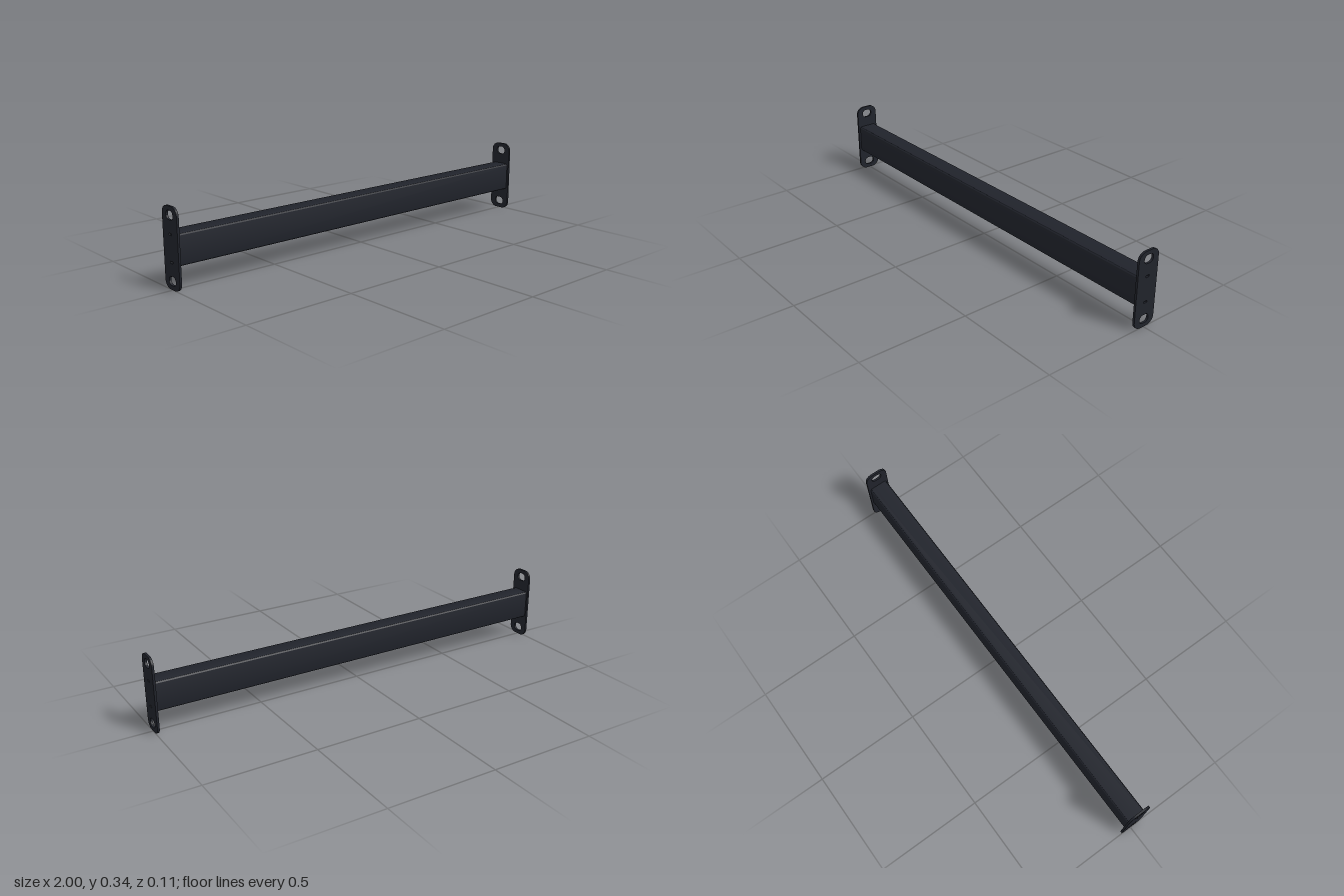
import * as THREE from 'three';
import { toCreasedNormals } from 'three/addons/utils/BufferGeometryUtils.js';

const LENGTH = 2, HEIGHT = 0.345, MID = HEIGHT / 2, PLATE = 0.01;

// Rounded rectangle centred on (0, cy), drawn into a Shape or Path
function roundedRect(path, w, h, r, cy = 0) {
  const x = w / 2, y = h / 2;
  path.moveTo(x, cy - y + r);
  path.lineTo(x, cy + y - r);
  path.absarc(x - r, cy + y - r, r, 0, Math.PI / 2);
  path.lineTo(-x + r, cy + y);
  path.absarc(-x + r, cy + y - r, r, Math.PI / 2, Math.PI);
  path.lineTo(-x, cy - y + r);
  path.absarc(-x + r, cy - y + r, r, Math.PI, Math.PI * 1.5);
  path.lineTo(x - r, cy - y);
  path.absarc(x - r, cy - y + r, r, Math.PI * 1.5, Math.PI * 2);
  path.closePath();
  return path;
}

// Extrude a profile along x, centred on x = 0
function extrudeAlongX(shape, depth) {
  const geo = new THREE.ExtrudeGeometry(shape, { depth, bevelEnabled: false, curveSegments: 10 });
  geo.translate(0, 0, -depth / 2).rotateY(Math.PI / 2);
  return toCreasedNormals(geo, 0.6);
}

export function createModel() {
  const group = new THREE.Group();
  group.name = 'crossbar';
  const steel = new THREE.MeshStandardMaterial({ color: 0x20232b });

  // Hollow rectangular tube
  const tubeShape = roundedRect(new THREE.Shape(), 0.09, 0.135, 0.012);
  tubeShape.holes.push(roundedRect(new THREE.Path(), 0.078, 0.123, 0.006));
  const tube = new THREE.Mesh(extrudeAlongX(tubeShape, LENGTH - 2 * PLATE), steel);
  tube.name = 'tube';
  tube.position.y = MID;
  group.add(tube);

  // End plates with bolt slots and small vent holes opening into the tube
  const plateShape = roundedRect(new THREE.Shape(), 0.109, HEIGHT, 0.036);
  for (const s of [-1, 1]) {
    plateShape.holes.push(roundedRect(new THREE.Path(), 0.05, 0.038, 0.018, s * 0.1355));
    plateShape.holes.push(roundedRect(new THREE.Path(), 0.018, 0.009, 0.0005, s * 0.058));
  }
  const plateGeo = extrudeAlongX(plateShape, PLATE);
  for (const [name, s] of [['leftEndPlate', 1], ['rightEndPlate', -1]]) {
    const plate = new THREE.Mesh(plateGeo, steel);
    plate.name = name;
    plate.position.set(s * (LENGTH - PLATE) / 2, MID, 0);
    group.add(plate);
  }
  return group;
}
